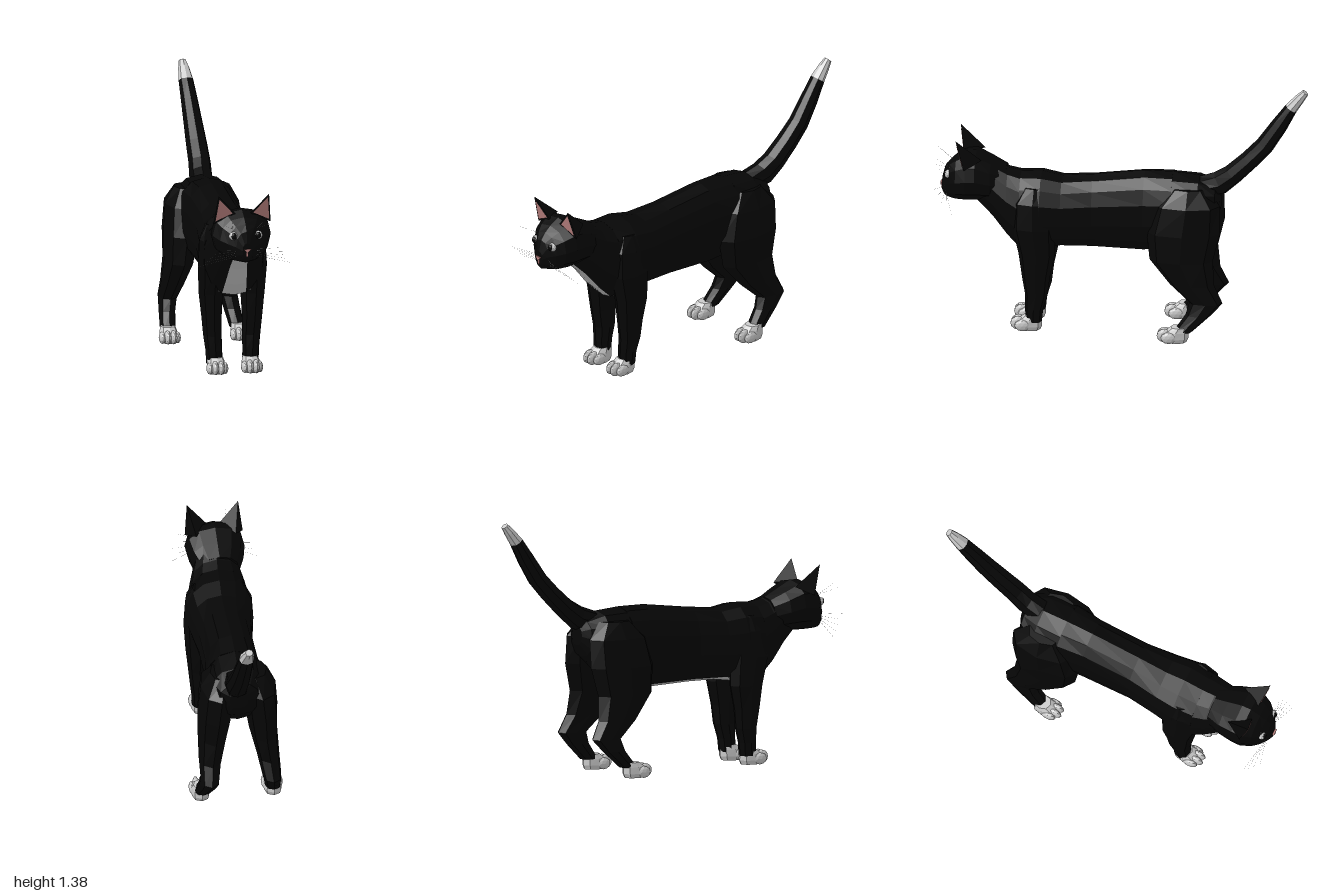
import * as THREE from 'three';

const mat = (color, side = THREE.FrontSide) =>
  new THREE.MeshStandardMaterial({ color, side, flatShading: true });
const black = mat(0x060606), white = mat(0xcccccc), pink = mat(0xc08583);
const blackThin = mat(0x060606, THREE.DoubleSide), pinkThin = mat(0xc08583, THREE.DoubleSide);

const round = (v) => Math.sign(v) * Math.abs(v) ** 0.87;

// Skin over rings [x, y, z, rx, r2, tilt]; each ring spans the x axis and (0, cos tilt, sin tilt).
// Only the arc from a0 to a1 (degrees) is covered; both ends close to a point.
function loft(rings, sides, a0 = 0, a1 = 360) {
  const first = [...rings[0]], last = [...rings[rings.length - 1]];
  first[3] = first[4] = last[3] = last[4] = 0;
  const all = [first, ...rings, last], pos = [], idx = [];
  for (const [x, y, z, rx, r2, tilt = 0] of all) {
    const t = THREE.MathUtils.degToRad(tilt);
    for (let j = 0; j <= sides; j++) {
      const a = THREE.MathUtils.degToRad(a0 + (a1 - a0) * j / sides);
      const v = r2 * round(Math.sin(a));
      pos.push(x + rx * round(Math.cos(a)), y + v * Math.cos(t), z + v * Math.sin(t));
    }
  }
  const n = sides + 1;
  for (let i = 0; i < all.length - 1; i++)
    for (let j = 0; j < sides; j++) {
      const p = i * n + j;
      idx.push(p, p + n, p + 1, p + 1, p + n, p + n + 1);
    }
  return buffer(pos, idx);
}

function buffer(pos, idx) {
  const g = new THREE.BufferGeometry();
  g.setAttribute('position', new THREE.Float32BufferAttribute(pos, 3));
  g.setIndex(idx);
  g.computeVertexNormals();
  return g;
}

function add(parent, name, geometry, material) {
  const m = new THREE.Mesh(geometry, material);
  m.name = name;
  parent.add(m);
  return m;
}

function blob(parent, name, material, p, s) {
  const m = add(parent, name, new THREE.IcosahedronGeometry(1, 1), material);
  m.position.set(...p);
  m.scale.set(...s);
  return m;
}

// [z, centre x, half width, top, bottom] to an upright ring
const slice = ([z, x, w, top, bottom]) => [x, (top + bottom) / 2, z, w, (top - bottom) / 2, 0];

function paw(parent, name, x, z) {
  const g = new THREE.Group();
  g.name = name;
  g.position.set(x, 0, z);
  parent.add(g);
  add(g, 'pawPad', loft([
    [0, 0.085, -0.03, 0.04, 0.045, -90], [0, 0.06, -0.015, 0.048, 0.064, -90],
    [0, 0.025, -0.01, 0.05, 0.07, -90], [0, 0.003, -0.01, 0.045, 0.06, -90]], 8), white);
  for (const [tx, tz, h] of [[-0.04, 0.022, 0.032], [-0.016, 0.046, 0.038], [0.016, 0.046, 0.038], [0.04, 0.022, 0.032]])
    blob(g, 'toe', white, [tx, h, tz], [0.018, h, 0.042]);
}

function whisker(parent, a, b) {
  const from = new THREE.Vector3(...a), to = new THREE.Vector3(...b);
  const m = add(parent, 'whisker', new THREE.CylinderGeometry(0.0002, 0.0006, from.distanceTo(to), 3), white);
  m.position.copy(from).add(to).multiplyScalar(0.5);
  m.quaternion.setFromUnitVectors(new THREE.Vector3(0, 1, 0), to.sub(from).normalize());
}

export function createModel() {
  const cat = new THREE.Group();
  cat.name = 'cat';

  // Torso, with a pale strip that is narrow on the chest and wider on the belly
  const torso = [
    [0.78, -0.01, 0.09, 0.92, 0.70], [0.68, -0.005, 0.12, 0.90, 0.60],
    [0.60, 0, 0.148, 0.868, 0.50], [0.53, 0.005, 0.165, 0.855, 0.43],
    [0.42, 0.012, 0.178, 0.86, 0.44], [0.31, 0.018, 0.163, 0.84, 0.455],
    [0.145, 0.025, 0.142, 0.855, 0.455], [-0.13, 0.03, 0.142, 0.89, 0.445],
    [-0.28, 0.035, 0.16, 0.89, 0.47], [-0.42, 0.04, 0.155, 0.878, 0.55],
    [-0.51, 0.045, 0.11, 0.84, 0.64], [-0.535, 0.05, 0.05, 0.80, 0.70]].map(slice);
  for (const [name, strip, from, to, half] of [
    ['shoulders', 'chestPatch', 0, 4, 20], ['trunk', 'bellyPatch', 3, 9, 30]]) {
    const rings = torso.slice(from, to);
    add(cat, name, loft(rings, 12, half - 90, 270 - half), black);
    add(cat, strip, loft(rings, 2, 270 - half, 270 + half), white);
  }
  add(cat, 'rump', loft(torso.slice(8), 12), black);

  // Tail with a pale tip
  const tail = [
    [0.05, 0.815, -0.42, 0.065, 0.055, 15], [0.06, 0.845, -0.53, 0.062, 0.065, 28],
    [0.07, 0.90, -0.60, 0.06, 0.056, 42], [0.073, 0.985, -0.69, 0.057, 0.052, 46],
    [0.074, 1.07, -0.77, 0.052, 0.05, 51], [0.07, 1.18, -0.845, 0.046, 0.045, 55],
    [0.065, 1.28, -0.91, 0.04, 0.034, 55], [0.063, 1.335, -0.955, 0.03, 0.027, 52],
    [0.062, 1.37, -0.985, 0.02, 0.019, 50]];
  add(cat, 'tail', loft(tail.slice(0, 7), 8), black);
  add(cat, 'tailTip', loft(tail.slice(6), 8), white);

  // Legs as [side offset, y, z, half width, half depth]
  const frontLeg = [
    [0.08, 0.80, 0.45, 0.06, 0.06], [0.10, 0.72, 0.455, 0.078, 0.11],
    [0.112, 0.58, 0.455, 0.075, 0.115], [0.113, 0.43, 0.437, 0.066, 0.097],
    [0.11, 0.30, 0.442, 0.055, 0.074], [0.105, 0.20, 0.44, 0.05, 0.06],
    [0.1, 0.12, 0.452, 0.045, 0.048], [0.097, 0.05, 0.455, 0.045, 0.044]];
  const hindLeg = [
    [0.08, 0.83, -0.37, 0.07, 0.09], [0.11, 0.74, -0.365, 0.09, 0.175],
    [0.125, 0.59, -0.345, 0.088, 0.195], [0.137, 0.44, -0.335, 0.075, 0.168],
    [0.155, 0.31, -0.395, 0.06, 0.118], [0.165, 0.215, -0.47, 0.05, 0.088],
    [0.175, 0.15, -0.43, 0.045, 0.068], [0.188, 0.06, -0.35, 0.042, 0.05]];
  const place = (leg, cx, s) => leg.map(([x, y, z, w, d]) => [cx + s * x, y, z, w, d, -90]);
  for (const [s, side] of [[1, 'left'], [-1, 'right']]) {
    add(cat, side + 'FrontLeg', loft(place(frontLeg, 0.013, s), 8), black);
    add(cat, side + 'HindLeg', loft(place(hindLeg, 0.03, s), 8), black);
    paw(cat, side + 'FrontPaw', 0.013 + s * 0.094, 0.49);
    paw(cat, side + 'HindPaw', 0.03 + s * 0.193, -0.30);
  }

  // Head, from the face back to the neck
  const head = new THREE.Group();
  head.name = 'head';
  head.position.x = -0.017;
  cat.add(head);
  add(head, 'skull', loft([
    [0.953, 0, 0.025, 0.80, 0.72], [0.937, 0, 0.055, 0.86, 0.695],
    [0.91, 0, 0.095, 0.895, 0.688], [0.875, 0, 0.13, 0.925, 0.685],
    [0.82, 0, 0.157, 0.955, 0.685], [0.77, 0, 0.157, 0.955, 0.688],
    [0.69, 0, 0.14, 0.915, 0.69], [0.61, 0, 0.105, 0.875, 0.69]].map(slice), 12), black);
  blob(head, 'muzzle', black, [0, 0.737, 0.905], [0.06, 0.045, 0.05]);

  // Nose: a small inverted triangle with a stem
  const nose = add(head, 'nose', new THREE.CylinderGeometry(0.024, 0.016, 0.02, 3), pink);
  nose.rotation.x = Math.PI / 2;
  nose.position.set(0, 0.763, 0.953);
  nose.scale.z = 0.6;
  const stem = add(head, 'noseStem', new THREE.BoxGeometry(0.009, 0.03, 0.012), pink);
  stem.position.set(0, 0.745, 0.951);

  for (const s of [1, -1]) {
    // Eye with a dark pupil
    blob(head, 'eye', white, [s * 0.066, 0.835, 0.916], [0.025, 0.024, 0.02]);
    blob(head, 'pupil', black, [s * 0.066, 0.836, 0.928], [0.015, 0.019, 0.013]);

    // Ear: black pyramid with a pink panel set on its front
    const outer = [s * 0.155, 0.885, 0.825], inner = [s * 0.04, 0.94, 0.845];
    const back = [s * 0.105, 0.93, 0.735], tip = [s * 0.137, 1.045, 0.87];
    add(head, 'ear', buffer([...outer, ...inner, ...back, ...tip],
      [0, 2, 3, 2, 1, 3, 0, 1, 3]), blackThin);
    const mid = outer.map((v, i) => (v + inner[i] + tip[i]) / 3);
    const panel = [outer, inner, tip].flatMap((p) =>
      p.map((v, i) => mid[i] + 0.78 * (v - mid[i]) + (i === 2 ? 0.004 : 0)));
    add(head, 'innerEar', buffer(panel, [0, 1, 2]), pinkThin);

    // Cheek and brow whiskers
    for (let i = 0; i < 5; i++)
      whisker(head, [s * 0.04, 0.73 + i * 0.008, 0.93],
        [s * (0.25 - i * 0.02), 0.67 + i * 0.027, 0.88 + i * 0.028]);
    for (let i = 0; i < 2; i++)
      whisker(head, [s * 0.065, 0.87, 0.9], [s * (0.09 + i * 0.04), 0.93 - i * 0.02, 0.985]);
  }
  return cat;
}
